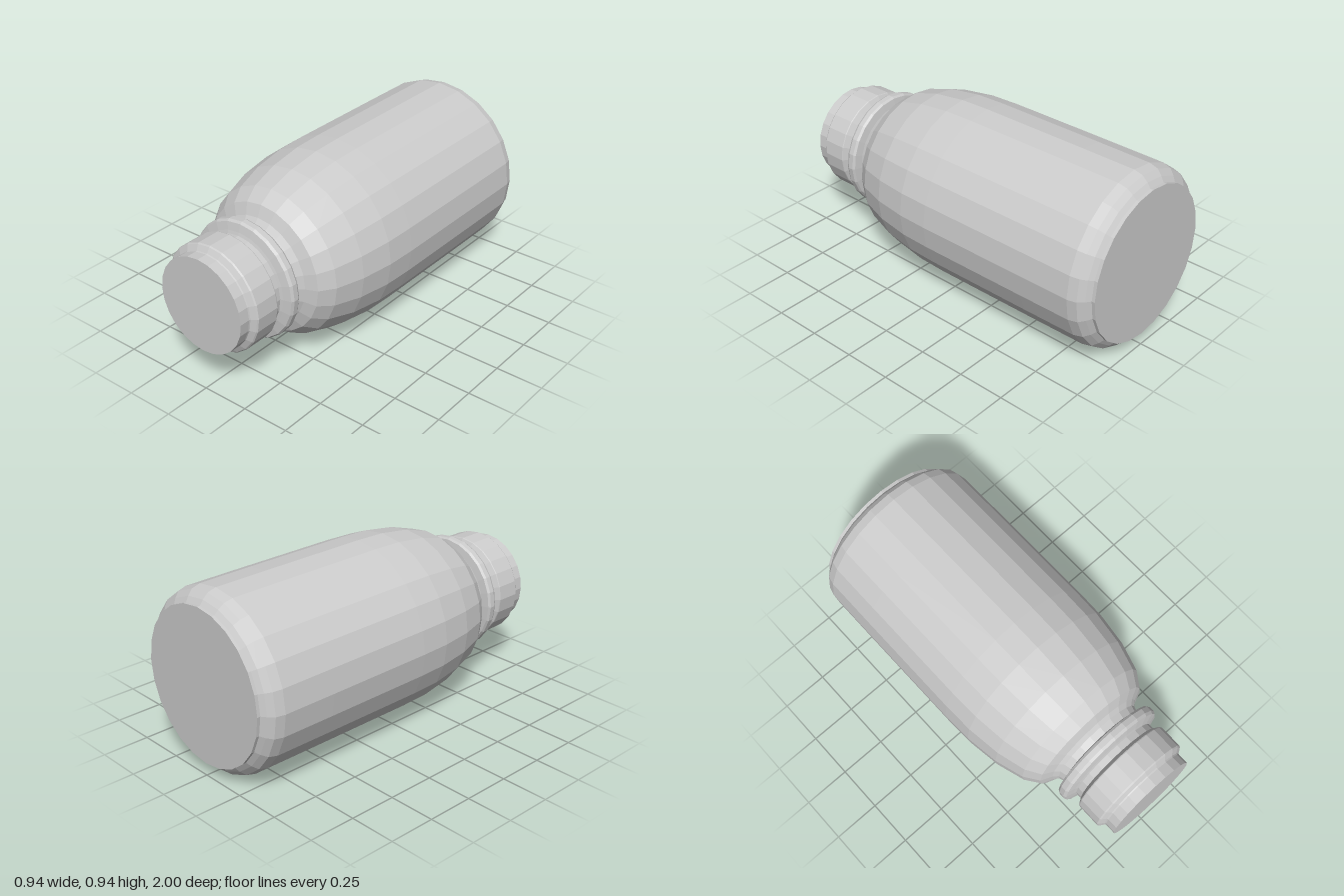
import * as THREE from 'three';

const SIDES = 24;
const RADIUS = 0.47;

export function createModel() {
  const model = new THREE.Group();
  model.name = 'bottle';
  const material = new THREE.MeshStandardMaterial({ color: 0xcccccc, flatShading: true });

  // Turns a [radius, z] profile, listed from back to front, around the long axis.
  function turned(name, profile) {
    const geometry = new THREE.LatheGeometry(profile.map(([r, z]) => new THREE.Vector2(r, z)), SIDES);
    geometry.rotateX(Math.PI / 2);
    const mesh = new THREE.Mesh(geometry, material);
    mesh.name = name;
    mesh.position.y = RADIUS;
    model.add(mesh);
  }

  // Flat base with a short foot rim
  turned('base', [[0, -1], [0.405, -1], [0.405, -0.983]]);

  // Main body with rounded heel and shoulder
  turned('body', [
    [0.405, -0.983], [0.43, -0.965], [0.457, -0.937], [0.469, -0.89], [RADIUS, -0.6], [RADIUS, 0],
    [0.465, 0.165], [0.44, 0.345], [0.395, 0.495], [0.343, 0.57],
    [0.285, 0.595], [0.26, 0.615], [0.25, 0.65],
  ]);

  // Raised collar ring around the neck
  turned('collarRing', [
    [0.25, 0.65], [0.265, 0.655], [0.305, 0.663], [0.313, 0.675],
    [0.313, 0.703], [0.305, 0.717], [0.265, 0.727], [0.25, 0.732],
  ]);

  // Neck with the wider closure band
  turned('neck', [
    [0.25, 0.732], [0.25, 0.766], [0.281, 0.785], [0.283, 0.79], [0.283, 0.915],
    [0.278, 0.922], [0.252, 0.938], [0.25, 0.945], [0.25, 1],
  ]);

  // Flat end of the mouth
  turned('mouthEnd', [[0.25, 1], [0, 1]]);

  return model;
}
